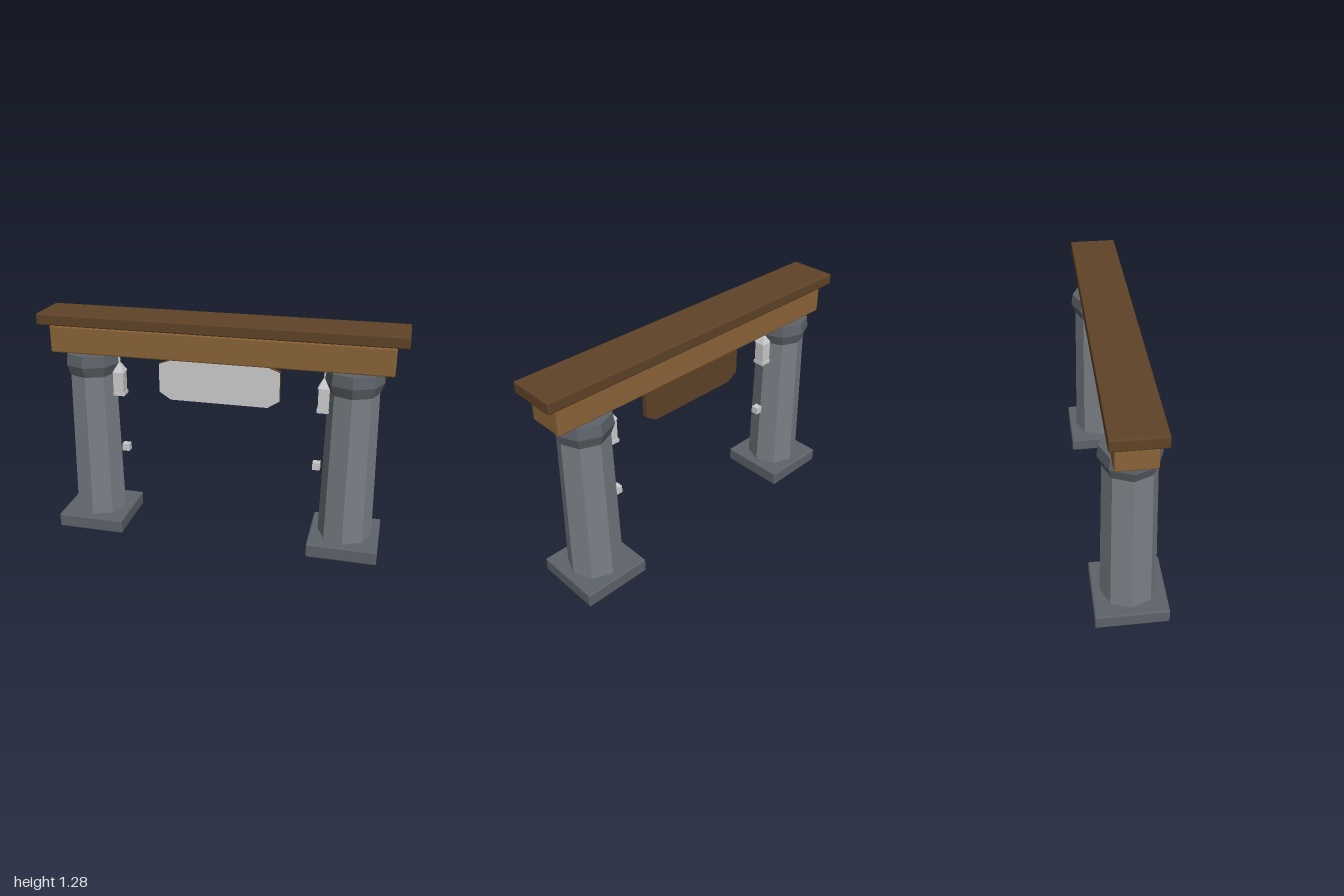
import * as THREE from 'three';
import { RoundedBoxGeometry } from 'three/addons/geometries/RoundedBoxGeometry.js';

const mat = (color, flatShading = true) => new THREE.MeshStandardMaterial({ color, flatShading });

function part(parent, name, geometry, material, x = 0, y = 0, z = 0) {
  const mesh = new THREE.Mesh(geometry, material);
  mesh.name = name;
  mesh.position.set(x, y, z);
  parent.add(mesh);
  return mesh;
}

// Box with softened edges, given by its bottom and top heights
function beveledBox(parent, name, material, w, y0, y1, d) {
  return part(parent, name, new RoundedBoxGeometry(w, y1 - y0, d, 1, 0.008), material, 0, (y0 + y1) / 2);
}

// Eight-sided tapered column section between two heights
function octagon(parent, name, material, rTop, rBottom, y0, y1) {
  return part(parent, name, new THREE.CylinderGeometry(rTop, rBottom, y1 - y0, 8), material, 0, (y0 + y1) / 2);
}

export function createModel() {
  const model = new THREE.Group();
  model.name = 'gateway';
  const stone = mat(0x7a7f86);
  const darkStone = mat(0x5e636a);
  const wood = mat(0x8a6338);
  const darkWood = mat(0x604327);
  const grey = mat(0xcccccc);

  // Lintel and the cap board above it
  beveledBox(model, 'lintel', wood, 1.88, 1.055, 1.208, 0.204);
  beveledBox(model, 'capBoard', darkWood, 2, 1.215, 1.279, 0.266);

  for (const [side, s] of [['left', 1], ['right', -1]]) {
    // Pillar: plinth, tapered shaft, flared capital
    const pillar = new THREE.Group();
    pillar.name = side + 'Pillar';
    pillar.position.x = s * 0.735;
    model.add(pillar);
    beveledBox(pillar, 'plinth', darkStone, 0.39, 0, 0.082, 0.39);
    octagon(pillar, 'shaft', stone, 0.136, 0.153, 0.01, 0.93);
    octagon(pillar, 'capitalFlare', darkStone, 0.158, 0.136, 0.93, 0.99);
    octagon(pillar, 'capitalTop', darkStone, 0.15, 0.158, 0.99, 1.053);

    // Lantern hanging beside the inner face of the pillar
    const lantern = new THREE.Group();
    lantern.name = side + 'Lantern';
    lantern.position.x = s * 0.58;
    model.add(lantern);
    part(lantern, 'lanternBase', new THREE.BoxGeometry(0.07, 0.018, 0.07), grey, 0, 0.811);
    part(lantern, 'lanternBody', new THREE.BoxGeometry(0.06, 0.12, 0.06), grey, 0, 0.88);
    const roof = part(lantern, 'lanternRoof', new THREE.CylinderGeometry(0.012, 0.049, 0.05, 4), grey, 0, 0.965);
    roof.rotation.y = Math.PI / 4;
    part(lantern, 'lanternHanger', new THREE.CylinderGeometry(0.008, 0.008, 0.07, 6), grey, 0, 1.023);

    // Small block on the inner side of the pillar
    part(model, side + 'Block', new THREE.BoxGeometry(0.042, 0.042, 0.042), grey, s * 0.557, 0.478);

    // Rod holding up the sign
    part(model, side + 'SignRod', new THREE.CylinderGeometry(0.01, 0.01, 0.04, 8), grey, s * 0.205, 1.04);
  }

  // Hanging sign with cut corners and a pale front panel
  const outline = new THREE.Shape([
    [-0.275, 0.8], [0.275, 0.8], [0.34, 0.842], [0.34, 1.005],
    [0.27, 1.031], [-0.27, 1.031], [-0.34, 1.005], [-0.34, 0.842],
  ].map(([x, y]) => new THREE.Vector2(x, y)));
  part(model, 'signBoard', new THREE.ExtrudeGeometry(outline, { depth: 0.03, bevelEnabled: false }), darkWood, 0, 0, -0.015);
  part(model, 'signFront', new THREE.ShapeGeometry(outline), grey, 0, 0, 0.017);

  return model;
}
